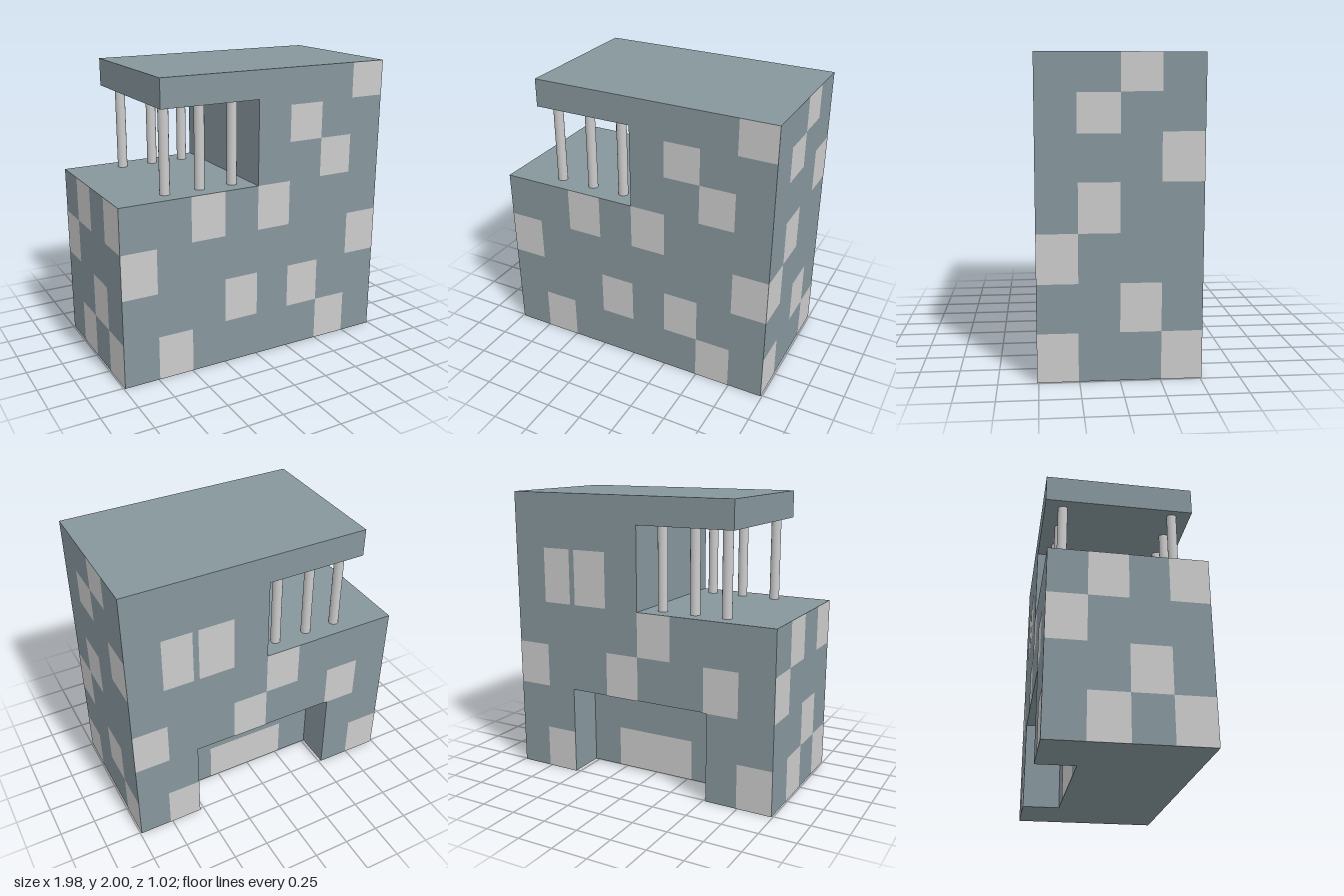
import * as THREE from 'three';

const W = 0.99, D = 0.51, TERRACE = 1.235, ROOF = 2;
const RECESS = { x0: -0.52, x1: 0.53, top: 0.62, z: -0.25 };
const COL = W / 4, SIDE = D / 2, ROW = TERRACE / 4;

export function createModel() {
  const model = new THREE.Group();
  const slate = new THREE.MeshStandardMaterial({ color: 0x86969c, flatShading: true });
  const grey = new THREE.MeshStandardMaterial({ color: 0xcccccc });

  function add(name, geometry, material, x = 0, y = 0, z = 0, parent = model) {
    const mesh = new THREE.Mesh(geometry, material);
    mesh.name = name;
    mesh.position.set(x, y, z);
    parent.add(mesh);
    return mesh;
  }

  // Building outline: lower storey, upper room and roof over the terrace
  function outline(base) {
    return new THREE.Shape([
      ...base, [W, 0], [W, ROOF], [-0.695, ROOF], [-0.695, 1.81],
      [0, 1.81], [0, TERRACE], [-W, TERRACE],
    ].map(([x, y]) => new THREE.Vector2(x, y)));
  }
  function slab(name, shape, z0, z1) {
    add(name, new THREE.ExtrudeGeometry(shape, { depth: z1 - z0, bevelEnabled: false }), slate, 0, 0, z0);
  }
  slab('mainBuilding', outline([[-W, 0]]), RECESS.z, D);
  // Rear layer is notched for the entrance recess
  const { x0, x1, top } = RECESS;
  slab('rearWallWithRecess', outline([[-W, 0], [x0, 0], [x0, top], [x1, top], [x1, 0]]), -D, RECESS.z);

  // Terrace columns
  const columns = new THREE.Group();
  columns.name = 'terraceColumns';
  model.add(columns);
  const columnGeo = new THREE.CylinderGeometry(0.034, 0.034, 1.81 - TERRACE, 16, 1, true);
  for (const [x, z] of [[-0.62, 0.38], [-0.37, 0.38], [-0.13, 0.38], [-0.6, -0.385], [-0.37, -0.385], [-0.13, -0.385]])
    add('column', columnGeo, grey, x, (1.81 + TERRACE) / 2, z, columns);

  // Flat window panels; u runs along the wall (x on front and back, z on the sides)
  const GAP = 0.0015;
  const walls = {
    front: { turn: 0, at: u => [u, D + GAP] },
    back: { turn: Math.PI, at: u => [u, -D - GAP] },
    recess: { turn: Math.PI, at: u => [u, RECESS.z - GAP] },
    left: { turn: Math.PI / 2, at: u => [W + GAP, u] },
    right: { turn: -Math.PI / 2, at: u => [-W - GAP, u] },
  };
  function panel(wall, u0, u1, y0, y1) {
    const { turn, at } = walls[wall];
    const [x, z] = at((u0 + u1) / 2);
    add(wall + 'Window', new THREE.PlaneGeometry(u1 - u0, y1 - y0), grey, x, (y0 + y1) / 2, z).rotation.y = turn;
  }
  // Panels on the regular grid of the lower storey: [column, row]
  function grid(wall, start, step, cells) {
    for (const [c, r] of cells)
      panel(wall, start + c * step, start + (c + 1) * step, r * ROW, (r + 1) * ROW);
  }
  grid('front', -W, COL, [[1, 0], [6, 0], [3, 1], [5, 1], [0, 2], [7, 2], [2, 3], [4, 3]]);
  grid('back', -W, COL, [[0, 0], [1, 2], [3, 3], [4, 2], [7, 2]]);
  grid('left', -D, SIDE, [[0, 0], [3, 0], [1, 1], [3, 2], [2, 3]]);
  grid('right', -D, SIDE, [[1, 0], [3, 0], [2, 1], [0, 2], [1, 3], [3, 3]]);

  // Remaining panels, upper storey and entrance
  panel('front', 0.495, 0.74, TERRACE, 1.505);
  panel('front', 0.245, 0.495, 1.505, 1.755);
  panel('front', 0.74, W, 1.76, ROOF);
  panel('left', -D, -0.25, TERRACE, 1.535);
  panel('left', 0, 0.26, 1.525, 1.765);
  panel('left', -0.25, 0, 1.77, ROOF);
  panel('back', 0.54, 0.75, TERRACE, 1.62);
  panel('back', 0.25, 0.5, TERRACE, 1.62);
  panel('back', RECESS.x1, 0.765, 0, 0.3);
  panel('recess', -0.28, 0.31, 0, 0.29);

  return model;
}
